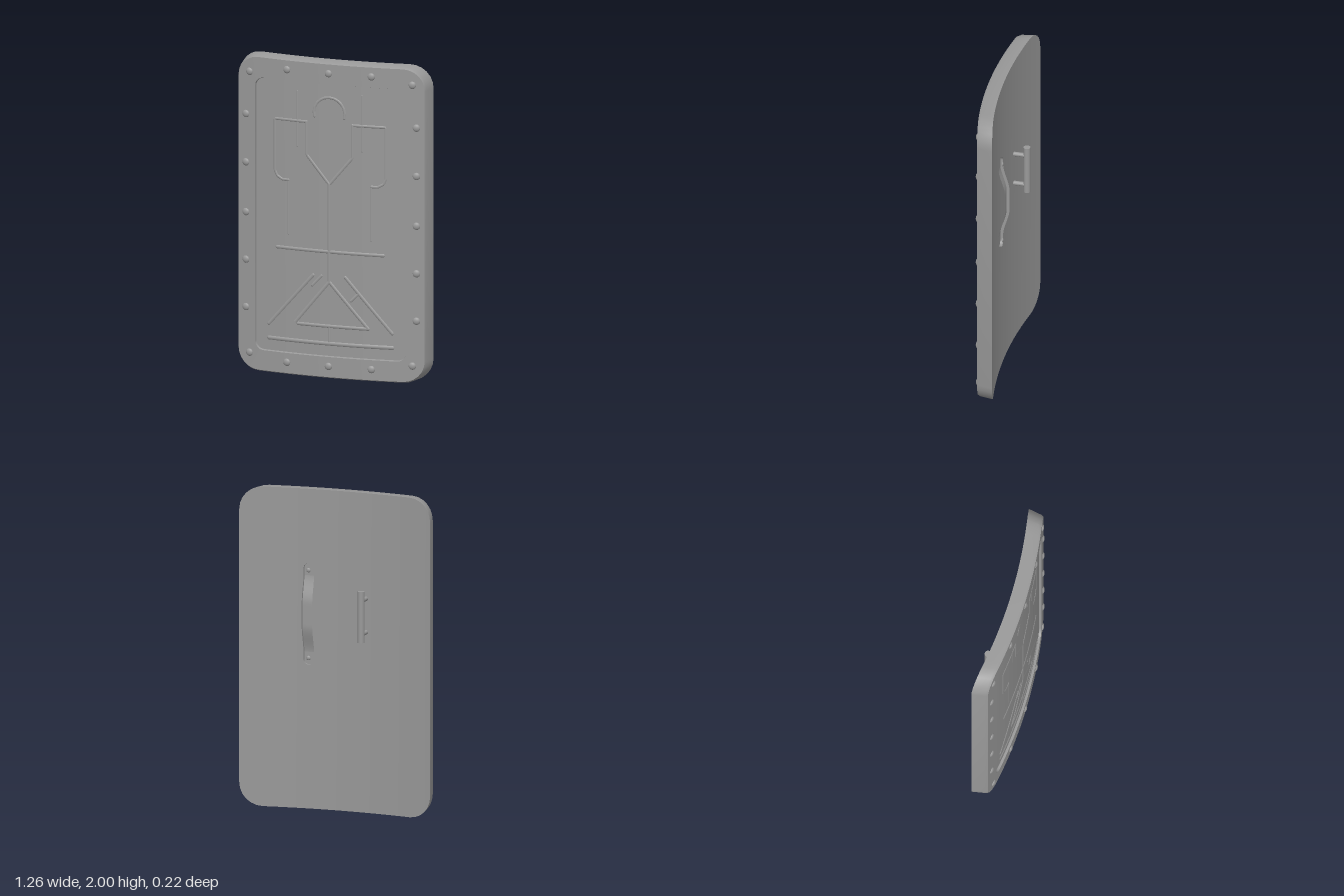
import * as THREE from 'three';
import { toCreasedNormals } from 'three/addons/utils/BufferGeometryUtils.js';

const mat = new THREE.MeshStandardMaterial({ color: 0x999999 });
const CURVE = 0.165;   // sideways bow of the whole shield
const PANEL = 0.08;    // depth of the sunken panel
const FRAME = 0.095;   // depth of the raised border
const bend = (x, y, d) => new THREE.Vector3(x, y, d - CURVE * x * x);

function add(parent, name, geo) {
  const mesh = new THREE.Mesh(geo, mat);
  mesh.name = name;
  parent.add(mesh);
  return mesh;
}

// Skin closed loops of equal length; each cap joins mirrored points i and n-1-i
function loft(loops, crease) {
  const n = loops[0].length, pos = [], idx = [];
  loops.forEach(l => l.forEach(p => pos.push(p.x, p.y, p.z)));
  const quad = (a, b, c, d) => idx.push(a, b, c, a, c, d);
  for (let k = 0; k < loops.length - 1; k++)
    for (let i = 0; i < n; i++) {
      const j = (i + 1) % n, a = k * n, b = a + n;
      quad(a + i, b + i, b + j, a + j);
    }
  const last = (loops.length - 1) * n;
  for (let i = 0; i < n / 2 - 1; i++) {
    const m = n - 1 - i;
    quad(last + i, last + m, last + m - 1, last + i + 1);
    quad(i, i + 1, m - 1, m);
  }
  const geo = new THREE.BufferGeometry();
  geo.setAttribute('position', new THREE.Float32BufferAttribute(pos, 3));
  geo.setIndex(idx);
  return toCreasedNormals(geo, crease);
}

// Bent rounded rectangle, clockwise from the left, top half then mirrored
function roundedLoop(w, h, r, d) {
  const top = [], arc = 6, straight = 20;
  for (let i = 0; i <= arc; i++) {
    const a = Math.PI - (i / arc) * Math.PI / 2;
    top.push([-w + r + r * Math.cos(a), h - r + r * Math.sin(a)]);
  }
  for (let i = 1; i < straight; i++) top.push([(w - r) * (2 * i / straight - 1), h]);
  for (let i = 0; i <= arc; i++) {
    const a = Math.PI / 2 * (1 - i / arc);
    top.push([w - r + r * Math.cos(a), h - r + r * Math.sin(a)]);
  }
  const bottom = top.map(([x, y]) => [x, -y]).reverse();
  return [...top, ...bottom].map(([x, y]) => bend(x, y + 1, d));
}

// Low soft ridge following the bowed panel: a tube sunk so only its crest shows
function ridge(parent, points, r) {
  const depth = PANEL - 0.75 * r;
  const path = new THREE.CurvePath();
  for (let i = 0; i < points.length - 1; i++) {
    const [a, b] = [points[i], points[i + 1]];
    const p = bend(a[0], a[1], depth), q = bend(b[0], b[1], depth);
    const mid = bend((a[0] + b[0]) / 2, (a[1] + b[1]) / 2, depth);
    const c = mid.multiplyScalar(2).addScaledVector(p, -0.5).addScaledVector(q, -0.5);
    path.add(new THREE.QuadraticBezierCurve3(p, c, q));
  }
  add(parent, 'reliefLine', new THREE.TubeGeometry(path, 12 * (points.length - 1), r, 24, false));
  for (const [x, y] of [points[0], points[points.length - 1]])
    add(parent, 'reliefLineEnd', new THREE.SphereGeometry(r, 20, 14)).position.copy(bend(x, y, depth));
}

export function createModel() {
  const shield = new THREE.Group();
  shield.name = 'shield';

  // Body: back, tapering rim, raised border and sunken panel
  const sections = [
    [0.628, 1, 0.145, 0], [0.613, 0.996, 0.14, 0.08], [0.606, 0.988, 0.135, FRAME],
    [0.491, 0.861, 0.055, FRAME], [0.487, 0.857, 0.051, PANEL],
  ];
  add(shield, 'shieldBody', loft(sections.map(s => roundedLoop(...s)), 0.5));

  // Rivets around the border
  const rivets = new THREE.Group();
  rivets.name = 'rivets';
  const spots = [[0, 1.93], [0, 0.08]];
  for (const s of [-1, 1]) {
    for (const p of [[0.275, 1.93], [0.275, 0.08], [0.53, 1.89], [0.53, 0.115]]) spots.push([s * p[0], p[1]]);
    for (const y of [1.62, 1.315, 1, 0.7, 0.4]) spots.push([s * 0.555, y]);
  }
  const dome = new THREE.SphereGeometry(0.024, 16, 6, 0, Math.PI * 2, 0, Math.PI / 2)
    .rotateX(Math.PI / 2).scale(1, 1, 0.55);
  for (const [x, y] of spots) {
    const rivet = add(rivets, 'rivet', dome);
    rivet.position.copy(bend(x, y, FRAME - 0.002));
    rivet.rotation.y = Math.atan(2 * CURVE * x);
  }
  shield.add(rivets);

  // Relief pattern on the panel
  const relief = new THREE.Group();
  relief.name = 'panelRelief';
  const arch = [];
  for (let i = 0; i <= 12; i++) {
    const a = Math.PI * (1.08 - 1.16 * i / 12);
    arch.push([0.1 * Math.cos(a), 1.675 + 0.1 * Math.sin(a)]);
  }
  ridge(relief, arch, 0.013);
  ridge(relief, [[-0.15, 1.61], [-0.15, 1.405], [0, 1.225], [0.15, 1.405], [0.15, 1.61]], 0.014);
  ridge(relief, [[0, 1.225], [0, 0.61]], 0.016);
  ridge(relief, [[-0.345, 0.8], [0.345, 0.8]], 0.016);
  ridge(relief, [[0, 0.61], [-0.23, 0.33], [0.25, 0.33]], 0.016);
  ridge(relief, [[0, 0.61], [0.25, 0.33]], 0.016);
  ridge(relief, [[-0.4, 0.22], [0.4, 0.22]], 0.019);
  ridge(relief, [[0, 0.33], [0, 0.22]], 0.011);
  for (const s of [-1, 1]) {
    const m = pts => pts.map(([x, y]) => [s * x, y]);
    ridge(relief, m([[0.15, 1.61], [0.36, 1.61], [0.36, 1.285], [0.345, 1.25], [0.31, 1.23], [0.27, 1.23]]), 0.013);
    ridge(relief, m([[0.27, 1.23], [0.27, 0.89]]), 0.008);
    ridge(relief, m([[0.21, 1.8], [0.21, 1.45]]), 0.008);
    ridge(relief, m([[0.105, 0.645], [0.4, 0.31]]), 0.016);
  }
  ridge(relief, [[-0.05, 0.645], [-0.11, 0.58]], 0.013);
  ridge(relief, [[0.14, 0.5], [0.19, 0.55]], 0.013);
  shield.add(relief);

  // Bar grip on two posts
  const grip = new THREE.Group();
  grip.name = 'barGrip';
  add(grip, 'gripBar', new THREE.CylinderGeometry(0.021, 0.021, 0.32, 20)).position.set(-0.183, 1.24, -0.089);
  for (const y of [1.13, 1.34])
    add(grip, 'gripPost', new THREE.CylinderGeometry(0.014, 0.014, 0.095, 14).rotateX(Math.PI / 2))
      .position.set(-0.183, y, -0.0425);
  shield.add(grip);

  // Arm strap: rounded tabs at the ends, bowed away from the back in between
  const strap = new THREE.Group();
  strap.name = 'armStrap';
  const half = 0.317, width = 0.031, thick = 0.018, strapLoops = [];
  for (let i = 0; i <= 64; i++) {
    const y = -half * Math.cos(Math.PI * i / 64);
    const toEnd = half - Math.abs(y);
    const w = toEnd < width ? Math.sqrt(Math.max(width ** 2 - (width - toEnd) ** 2, 1e-6)) : width;
    const z = -0.04 * THREE.MathUtils.smoothstep(toEnd, 0.06, 0.25);
    strapLoops.push([[-w, z], [w, z], [w, z - thick], [-w, z - thick]]
      .map(([x, d]) => new THREE.Vector3(x, y, d)));
  }
  add(strap, 'strapBand', loft(strapLoops, 0.6));
  for (const s of [-1, 1])
    add(strap, 'strapRivet', dome.clone().rotateY(Math.PI).scale(0.6, 0.6, 0.6))
      .position.set(0, s * 0.275, -thick);
  strap.position.copy(bend(0.19, 1.22, 0.001));
  strap.rotation.y = Math.atan(2 * CURVE * 0.19);
  shield.add(strap);

  return shield;
}
